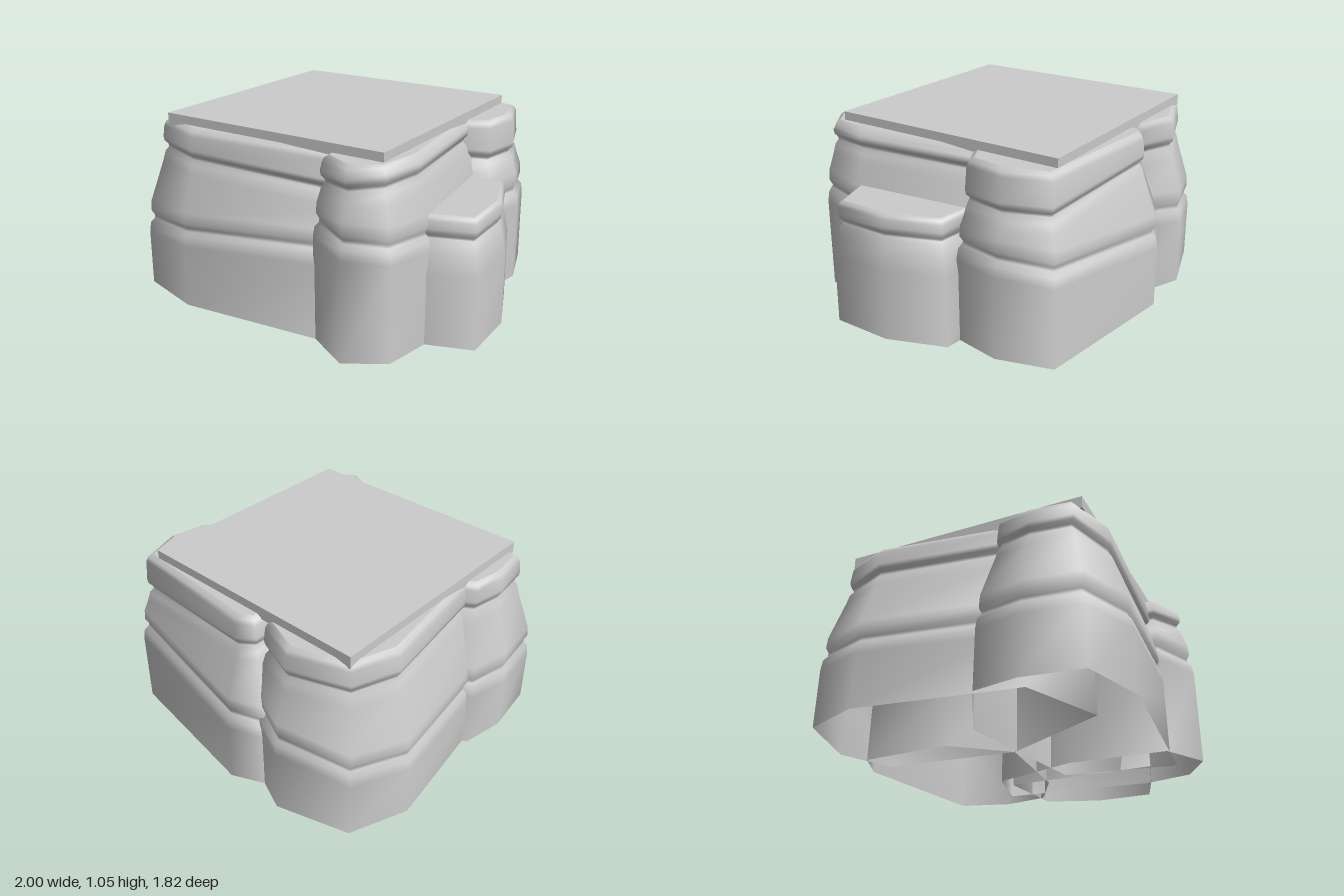
import * as THREE from 'three';

const material = new THREE.MeshStandardMaterial({ color: 0xcccccc, side: THREE.DoubleSide });

// Inward mitre direction at every corner of a footprint (clockwise seen from above)
function mitres(poly) {
  const n = poly.length;
  const normal = i => {
    const [x0, z0] = poly[i % n], [x1, z1] = poly[(i + 1) % n];
    const len = Math.hypot(x1 - x0, z1 - z0);
    return [-(z1 - z0) / len, (x1 - x0) / len];
  };
  return poly.map((_, i) => {
    const a = normal(i + n - 1), b = normal(i);
    const k = 1 / Math.max(0.6, 1 + a[0] * b[0] + a[1] * b[1]);
    return [(a[0] + b[0]) * k, (a[1] + b[1]) * k];
  });
}

// Stack of [height, inset] rows over a footprint, closed on top and open below
function rock(name, poly, profile) {
  const n = poly.length, dirs = mitres(poly);
  const rings = poly.map(([x, z], i) => profile(x, z).map(([y, inset]) =>
    [x + dirs[i][0] * inset, y, z + dirs[i][1] * inset]));
  const rows = rings[0].length;
  const pos = [], index = [];
  for (let r = 0; r < rows; r++) for (let i = 0; i < n; i++) pos.push(...rings[i][r]);
  for (let r = 0; r < rows - 1; r++) {
    for (let i = 0; i < n; i++) {
      const j = (i + 1) % n, a = r * n + i, b = r * n + j;
      index.push(a, a + n, b, b, a + n, b + n);
    }
  }
  // Top face with its own corners, so its rim stays crisp
  const start = rows * n, centre = [0, 0, 0];
  for (const ring of rings) {
    pos.push(...ring[rows - 1]);
    ring[rows - 1].forEach((v, k) => { centre[k] += v / n; });
  }
  pos.push(...centre);
  for (let i = 0; i < n; i++) index.push(start + i, start + n, start + (i + 1) % n);

  const geometry = new THREE.BufferGeometry();
  geometry.setAttribute('position', new THREE.Float32BufferAttribute(pos, 3));
  geometry.setIndex(index);
  geometry.computeVertexNormals();
  const mesh = new THREE.Mesh(geometry, material);
  mesh.name = name;
  return mesh;
}

// Three bulging layers parted by two tilted grooves; each groove is [height, slope in x, slope in z]
const layered = (low, high, lean = 1) => (x, z) => {
  const [g1, g2] = [low, high].map(g => g[0] + g[1] * x + g[2] * z);
  const mid = 0.024 + 0.3 * Math.max(0, g2 - g1 - 0.18);
  return [
    [0, 0], [g1 - 0.09, 0.004], [g1 - 0.035, 0.012], [g1 - 0.01, 0.032], [g1 + 0.01, 0.034],
    [g1 + 0.04, 0.019], [g1 + 0.1, 0.024], [g2 - 0.08, mid], [g2 - 0.03, mid + 0.012],
    [g2 - 0.005, mid + 0.03], [g2 + 0.012, mid + 0.028], [g2 + 0.03, mid + 0.012],
    [g2 + 0.055, mid + 0.008], [0.96, mid + 0.016], [0.985, mid + 0.026], [1, mid + 0.048],
  ].map(([y, inset]) => [y, inset * lean]);
};

// Low boulder with a single groove under its cap
const capped = () => [
  [0, 0], [0.4, 0.005], [0.5, 0.025], [0.56, 0.04], [0.575, 0.052], [0.588, 0.052],
  [0.605, 0.038], [0.63, 0.033], [0.67, 0.036], [0.69, 0.044], [0.7, 0.06],
];

export function createModel() {
  const group = new THREE.Group();
  group.name = 'rockPedestal';

  // Full boulders that run into one another
  group.add(
    rock('frontFaceRock',
      [[0.5, 0.755], [-0.57, 0.86], [-0.95, 0.75], [-0.99, 0.43], [-0.94, 0.18], [-0.5, -0.05], [0.4, 0.1]],
      layered([0.49, 0.077, 0], [0.818, -0.025, 0])),
    rock('frontCornerRock',
      [[0.67, -0.38], [0.76, 0.5], [0.7, 0.78], [0.49, 0.91], [0.235, 0.77], [0.2, 0.2], [0.35, -0.3]],
      layered([0.66, -0.1, 0.03], [0.85, 0.06, 0])),
    rock('backCornerRock',
      [[-0.33, -0.82], [-0.13, -0.91], [0.74, -0.78], [0.83, -0.48], [0.785, -0.21], [0.5, -0.05], [-0.1, 0], [-0.35, -0.3]],
      layered([0.48, 0.1, 0.03], [0.82, -0.05, 0], 1.15)),
    rock('backSideRock',
      [[-0.42, 0.6], [-0.88, 0.42], [-1, -0.46], [-0.87, -0.78], [-0.47, -0.9], [-0.17, -0.77], [-0.1, 0]],
      layered([0.5, 0.12, -0.03], [0.83, 0, 0])),
    rock('lowSideBoulder',
      [[0.45, -0.27], [0.88, -0.22], [1, 0.1], [1, 0.44], [0.74, 0.53], [0.45, 0.61]],
      capped),
  );

  // Flat square slab resting on the rocks
  const slab = new THREE.Mesh(new THREE.BoxGeometry(1.38, 0.07, 1.38), material);
  slab.name = 'topSlab';
  slab.position.set(-0.09, 1.013, 0);
  group.add(slab);
  return group;
}
